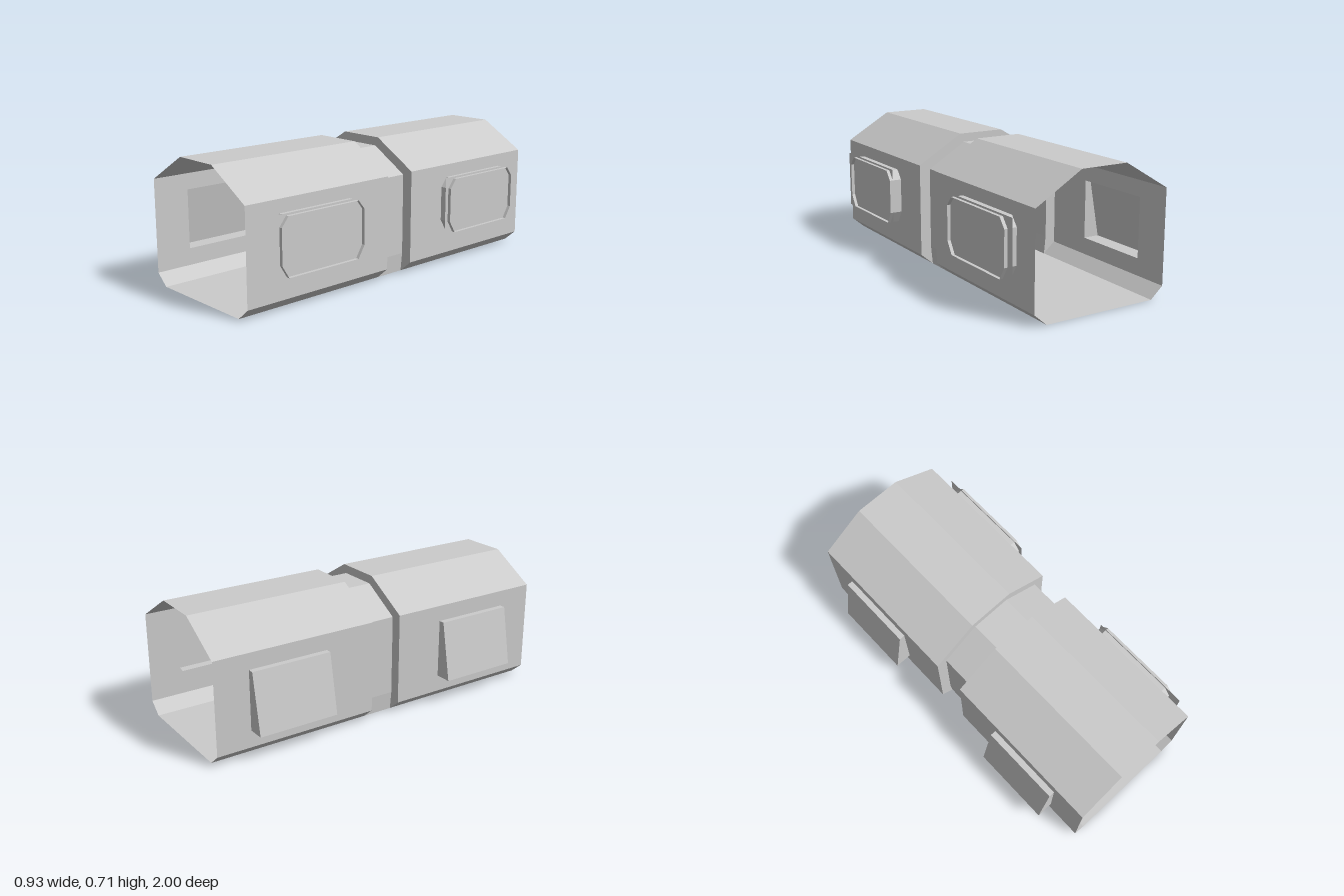
import * as THREE from 'three';

const material = new THREE.MeshStandardMaterial({ color: 0xcccccc, flatShading: true, side: THREE.DoubleSide });

// Cross-sections (x, y), counterclockwise from the bottom of the left side
const OUTER = [[0.325, 0], [0.395, 0.06], [0.395, 0.56], [0.142, 0.71],
  [-0.12, 0.71], [-0.373, 0.56], [-0.373, 0.06], [-0.303, 0]];
const INNER = [[0.325, 0], [0.335, 0.1], [0.335, 0.535], [0.122, 0.663],
  [-0.1, 0.663], [-0.313, 0.535], [-0.313, 0.1], [-0.303, 0]];
const WALL_LEFT = 1, WALL_RIGHT = 5; // outer segments that carry windows
const END = 1, NECK = 0.087, STEP = -1.17;

// Window outlines (z, y) for the front section
const BAY = [[0.318, 0.255], [0.358, 0.19], [0.803, 0.19], [0.843, 0.255],
  [0.843, 0.44], [0.803, 0.49], [0.358, 0.49], [0.318, 0.44]];
const WEDGE = [[0.36, 0.152], [0.802, 0.152], [0.802, 0.473], [0.36, 0.473]];

const shift = (pts, dz) => pts.map(([z, y]) => [z + dz, y]);

function mesh(name, geometry) {
  const m = new THREE.Mesh(geometry, material);
  m.name = name;
  return m;
}

// Flat-sided band joining two rings of 3D points
function band(ringA, ringB, { closed = false, skip = [] } = {}) {
  const pos = [];
  const count = closed ? ringA.length : ringA.length - 1;
  for (let i = 0; i < count; i++) {
    if (skip.includes(i)) continue;
    const j = (i + 1) % ringA.length;
    pos.push(...ringA[i], ...ringA[j], ...ringB[j], ...ringA[i], ...ringB[j], ...ringB[i]);
  }
  const g = new THREE.BufferGeometry();
  g.setAttribute('position', new THREE.Float32BufferAttribute(pos, 3));
  g.computeVertexNormals();
  return g;
}

// Upright panel in the plane x, outlined in (z, y), with an optional opening
function panel(x, outline, hole) {
  const toPoints = (pts) => pts.map(([z, y]) => new THREE.Vector2(z, y));
  const shape = new THREE.Shape(toPoints(outline));
  if (hole) shape.holes.push(new THREE.Path(toPoints(hole)));
  const g = new THREE.ShapeGeometry(shape);
  g.rotateY(x > 0 ? -Math.PI / 2 : -Math.PI / 2);
  g.translate(x, 0, 0);
  if (x > 0) { // turn the face outwards
    const idx = g.index.array;
    for (let i = 0; i < idx.length; i += 3) [idx[i], idx[i + 1]] = [idx[i + 1], idx[i]];
    g.computeVertexNormals();
  }
  return g;
}

const rect = (z0, z1, y0, y1) => [[z0, y0], [z1, y0], [z1, y1], [z0, y1]];
const section = (profile, z) => profile.map(([x, y]) => [x, y, z]);

function createHullSection(name, z0, z1, dz) {
  const group = new THREE.Group();
  group.name = name;
  const bay = shift(BAY, dz), wedge = shift(WEDGE, dz);
  const xl = OUTER[WALL_LEFT][0], xr = OUTER[WALL_RIGHT][0];

  // Closed hull with floor, and window walls with openings
  group.add(mesh('hull', band(section(OUTER, z0), section(OUTER, z1),
    { closed: true, skip: [WALL_LEFT, WALL_RIGHT] })));
  group.add(mesh('leftWall', panel(xl, rect(z0, z1, 0.06, 0.56), bay)));
  group.add(mesh('rightWall', panel(xr, rect(z0, z1, 0.06, 0.56), wedge)));

  // Octagonal window frame with its pane set just behind the rim
  group.add(mesh('windowFrame', band(
    bay.map(([z, y]) => [0.463, y, z]), bay.map(([z, y]) => [xl, y, z]), { closed: true })));
  const pz = dz ? -1.213 : 0;
  group.add(mesh('windowPane', panel(0.445, rect(0.32 + pz, 0.907 + pz, 0.18, 0.5))));

  // Sloping bay window: sides plus leaning front
  const slope = wedge.map(([z, y], i) => [i < 2 ? -0.465 : -0.405, y, z]);
  group.add(mesh('slopedWindowSides', band(
    wedge.map(([z, y]) => [xr, y, z]), slope, { closed: true })));
  group.add(mesh('slopedWindowFront', band([slope[0], slope[1]], [slope[3], slope[2]])));
  return group;
}

export function createModel() {
  const model = new THREE.Group();
  model.name = 'corridor';
  model.add(createHullSection('frontSection', NECK, END, 0));
  model.add(createHullSection('backSection', -END, -NECK, STEP));

  // Recessed neck between the two sections, with the stepped faces on both sides
  model.add(mesh('neck', band(section(INNER, -NECK), section(INNER, NECK), { closed: true })));
  model.add(mesh('frontStep', band(section(INNER, NECK), section(OUTER, NECK))));
  model.add(mesh('backStep', band(section(OUTER, -NECK), section(INNER, -NECK))));
  return model;
}
